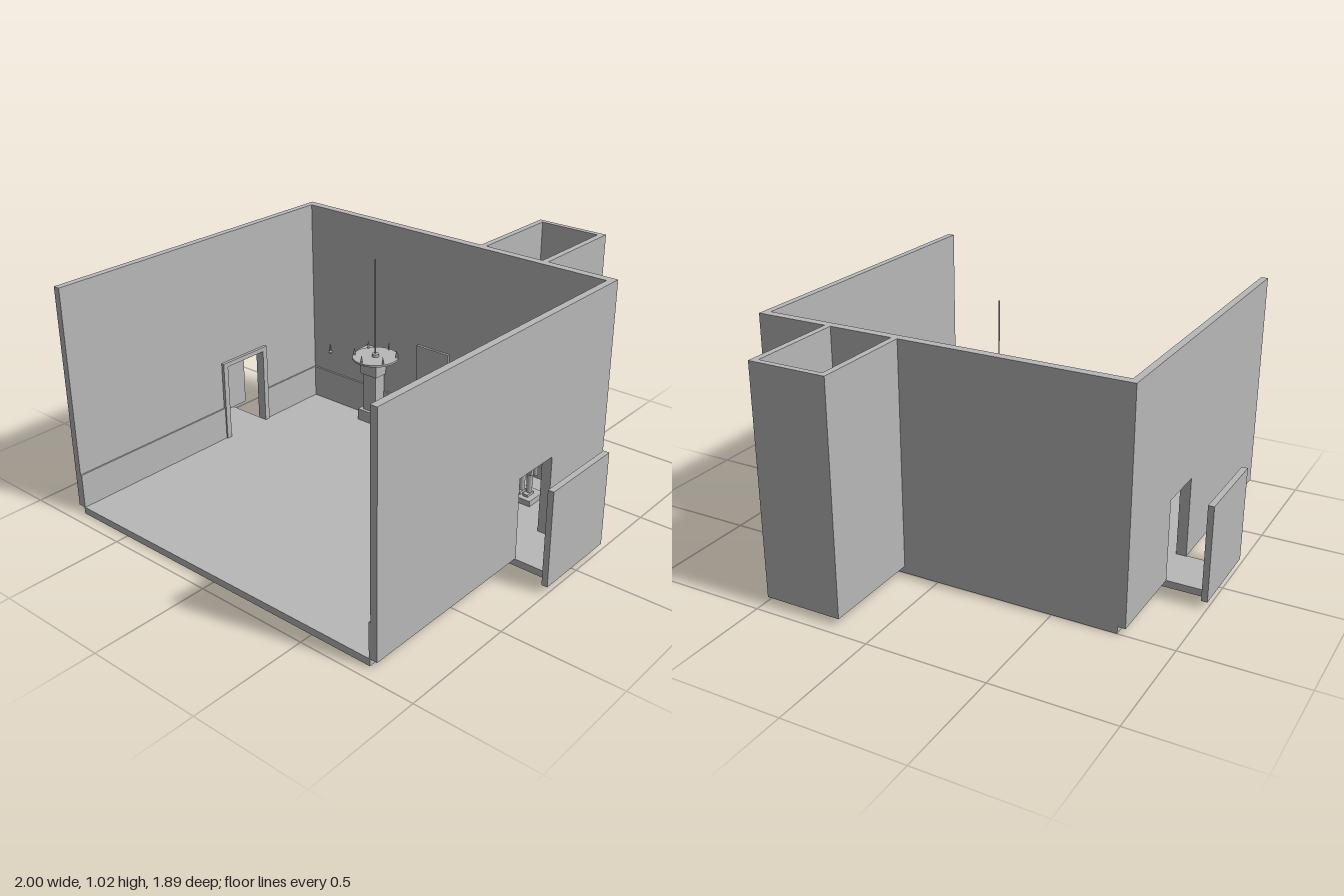
import * as THREE from 'three';

const stone = new THREE.MeshStandardMaterial({ color: 0xb8b8b8 });
stone.name = 'plain grey';

function add(parent, name, geometry, x = 0, y = 0, z = 0) {
  const mesh = new THREE.Mesh(geometry, stone);
  mesh.name = name;
  mesh.position.set(x, y, z);
  parent.add(mesh);
  return mesh;
}

// Box given by its extents
function box(parent, name, x0, x1, y0, y1, z0, z1) {
  return add(parent, name, new THREE.BoxGeometry(x1 - x0, y1 - y0, z1 - z0),
    (x0 + x1) / 2, (y0 + y1) / 2, (z0 + z1) / 2);
}

function rod(parent, name, r0, r1, y0, y1, x, z, sides = 12) {
  return add(parent, name, new THREE.CylinderGeometry(r1, r0, y1 - y0, sides), x, (y0 + y1) / 2, z);
}

function group(parent, name) {
  const g = new THREE.Group();
  g.name = name;
  parent.add(g);
  return g;
}

// Upright slab with a doorway notch rising from its foot
function notchedSlab(a0, a1, y0, y1, n0, n1, ny, depth) {
  const pts = [[a0, y0], [n0, y0], [n0, ny], [n1, ny], [n1, y0], [a1, y0], [a1, y1], [a0, y1]];
  const shape = new THREE.Shape(pts.map(p => new THREE.Vector2(...p)));
  return new THREE.ExtrudeGeometry(shape, { depth, bevelEnabled: false });
}

const F = 0.03; // floor level

function buildSide(room, s) {
  const label = s > 0 ? 'left' : 'right';
  const span = (name, a, b, y0, y1, z0, z1) =>
    box(room, label + name, Math.min(s * a, s * b), Math.max(s * a, s * b), y0, y1, z0, z1);
  // Side wall with doorway
  const wall = notchedSlab(-0.5, 0.945, F, 0.99, -0.1, 0.12, 0.38, 0.03).rotateY(-Math.PI / 2);
  add(room, label + 'Wall', wall, s > 0 ? 0.802 : -0.772);
  // Door frame
  const frame = notchedSlab(-0.125, 0.145, F, 0.4, -0.1, 0.12, 0.38, 0.014).rotateY(-Math.PI / 2);
  add(room, label + 'DoorFrame', frame, s > 0 ? 0.772 : -0.758);
  // Wainscot either side of the door
  span('WainscotBack', 0.765, 0.773, F, 0.18, -0.46, -0.125);
  span('WainscotFront', 0.765, 0.773, F, 0.18, 0.145, 0.945);
  // Passage floor and the screen beyond it
  span('PassageFloor', 0.77, 0.975, 0, F, -0.1, 0.125);
  span('PassageScreen', 0.975, 1, F, 0.435, -0.18, 0.205);
}

function buildStairs(parent) {
  const g = group(parent, 'staircase');
  box(g, 'shaftRightWall', 0.155, 0.182, F, 0.99, -0.95, -0.5);
  box(g, 'shaftLeftWall', 0.458, 0.485, F, 0.99, -0.95, -0.5);
  box(g, 'shaftBackWall', 0.182, 0.458, F, 0.99, -0.95, -0.925);
  const steps = 14, run = 0.036, rise = 0.03;
  for (let i = 0; i < steps; i++) {
    const front = -0.325 - i * run;
    const back = i === steps - 1 ? -0.925 : front - run;
    box(g, 'step', 0.185, 0.455, F, F + (i + 1) * rise, back, front);
  }
  // Newel post
  rod(g, 'newelPost', 0.01, 0.01, F, 0.19, 0.183, -0.33);
  add(g, 'newelBall', new THREE.SphereGeometry(0.017, 16, 10), 0.183, 0.2, -0.33);
  rod(g, 'newelFinial', 0.004, 0.001, 0.21, 0.28, 0.188, -0.33, 8);
}

function buildFireplace(parent) {
  const g = group(parent, 'fireplace');
  box(g, 'hearthBase', -0.43, -0.315, F, 0.085, -0.46, -0.385);
  box(g, 'chimneyBreast', -0.41, -0.335, 0.085, 0.27, -0.46, -0.4);
  box(g, 'mantelBlock', -0.42, -0.325, 0.27, 0.345, -0.46, -0.39);
  // Flared mantel top
  const flare = new THREE.Shape([[-0.42, 0.345], [-0.325, 0.345], [-0.315, 0.375],
    [-0.315, 0.387], [-0.433, 0.387], [-0.433, 0.375]].map(p => new THREE.Vector2(...p)));
  add(g, 'mantelTop', new THREE.ExtrudeGeometry(flare, { depth: 0.075, bevelEnabled: false }), 0, 0, -0.46);
}

function buildChandelier(parent) {
  const g = group(parent, 'chandelier');
  rod(g, 'hangingRod', 0.003, 0.003, 0.6, 1.025, 0, 0, 8);
  rod(g, 'plate', 0.095, 0.095, 0.6, 0.608, 0, 0, 40);
  rod(g, 'hub', 0.015, 0.015, 0.567, 0.62, 0, 0, 16);
  for (let i = 0; i < 6; i++) {
    const a = (i + 0.5) * Math.PI / 3;
    const x = Math.cos(a) * 0.087, z = Math.sin(a) * 0.087;
    rod(g, 'candle', 0.004, 0.004, 0.608, 0.625, x, z, 8);
    rod(g, 'flame', 0.003, 0.0005, 0.625, 0.64, x, z, 8);
  }
}

function buildArmour(parent) {
  const g = group(parent, 'suitOfArmour');
  const cx = 0.575, cz = -0.285;
  box(g, 'plinth', cx - 0.056, cx + 0.056, F, 0.055, cz - 0.052, cz + 0.052);
  for (const s of [-1, 1]) {
    box(g, 'foot', cx + s * 0.018 - 0.012, cx + s * 0.018 + 0.012, 0.055, 0.066, cz - 0.015, cz + 0.03);
    rod(g, 'leg', 0.011, 0.014, 0.06, 0.16, cx + s * 0.018, cz);
    rod(g, 'arm', 0.009, 0.01, 0.155, 0.235, cx + s * 0.044, cz);
    add(g, 'shoulder', new THREE.SphereGeometry(0.014, 12, 8), cx + s * 0.044, 0.234, cz);
  }
  box(g, 'torso', cx - 0.037, cx + 0.037, 0.155, 0.248, cz - 0.022, cz + 0.022);
  rod(g, 'neck', 0.01, 0.01, 0.245, 0.262, cx, cz);
  box(g, 'helmet', cx - 0.019, cx + 0.019, 0.26, 0.308, cz - 0.019, cz + 0.019);
  rod(g, 'plume', 0.008, 0.001, 0.308, 0.342, cx, cz, 8);
  // Halberd
  rod(g, 'halberdShaft', 0.004, 0.004, 0.055, 0.33, 0.522, -0.27, 8);
  rod(g, 'halberdPoint', 0.004, 0.0005, 0.33, 0.355, 0.522, -0.27, 8);
  box(g, 'halberdBlade', 0.475, 0.522, 0.272, 0.33, -0.273, -0.267);
}

export function createModel() {
  const model = new THREE.Group();
  model.name = 'hall';
  const room = group(model, 'room');
  box(room, 'floor', -0.77, 0.77, 0, F, -0.5, 0.945);

  // Back wall with stair opening, then its wainscot
  add(room, 'backWall', notchedSlab(-0.772, 0.772, F, 0.99, 0.182, 0.458, 0.465, 0.037), 0, 0, -0.5);
  box(room, 'backWainscotRight', -0.765, 0.175, F, 0.18, -0.463, -0.455);
  box(room, 'backWainscotLeft', 0.465, 0.765, F, 0.18, -0.463, -0.455);
  for (const s of [-1, 1]) buildSide(room, s);

  // Framed picture and wall sconces
  box(room, 'picture', -0.14, 0.035, 0.243, 0.467, -0.463, -0.452);
  for (const s of [-1, 1]) {
    const g = group(room, 'sconce');
    const x = s * 0.662;
    add(g, 'sconceCup', new THREE.SphereGeometry(0.008, 12, 8), x, 0.288, -0.453);
    rod(g, 'sconceCandle', 0.004, 0.004, 0.29, 0.308, x, -0.453, 8);
    rod(g, 'sconceFlame', 0.004, 0.0005, 0.308, 0.324, x, -0.453, 8);
  }

  buildStairs(model);
  buildFireplace(model);
  buildChandelier(model);
  buildArmour(model);
  return model;
}
